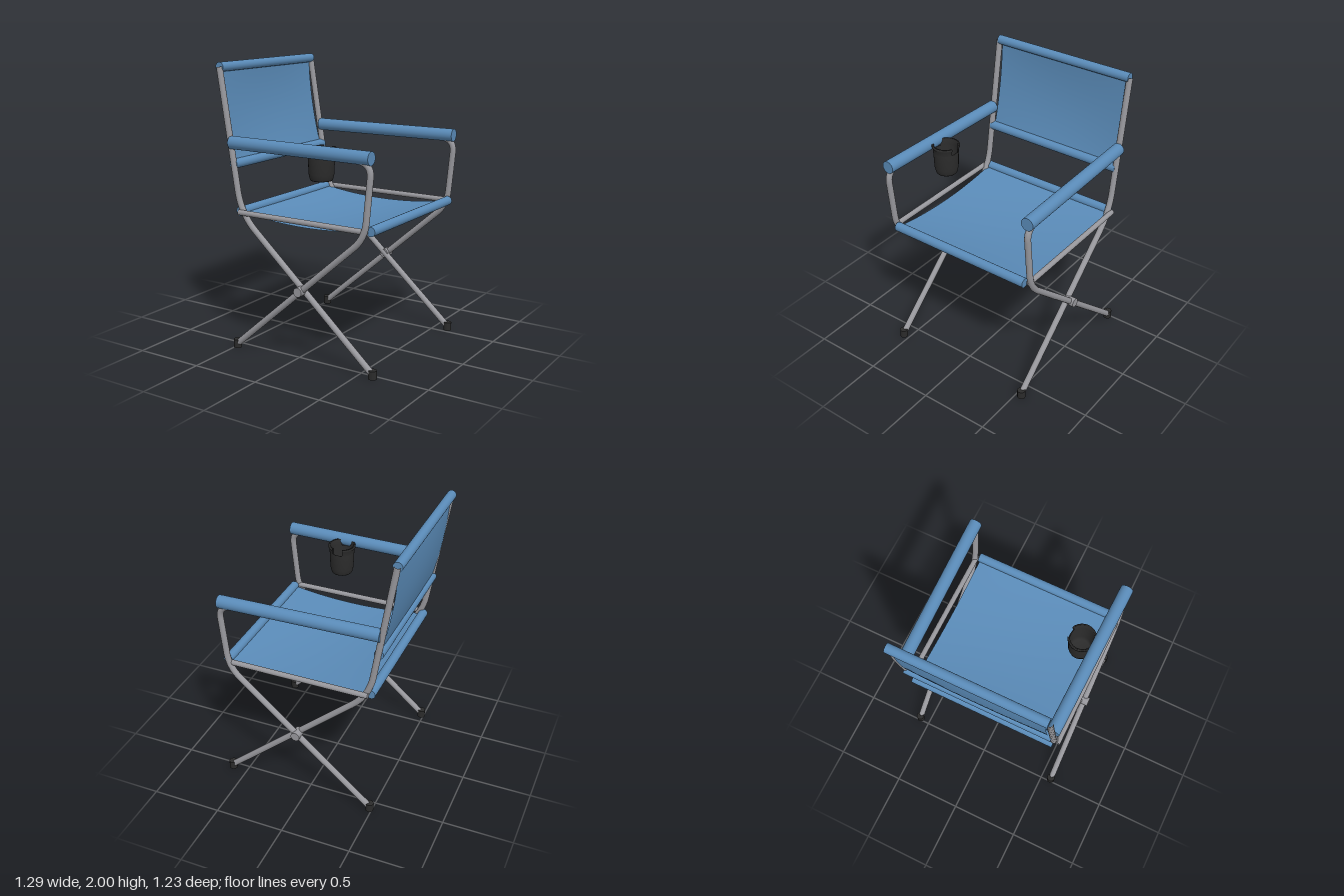
import * as THREE from 'three';

const BLUE = new THREE.MeshStandardMaterial({ color: 0x5a8bb8, side: THREE.DoubleSide });
const METAL = new THREE.MeshStandardMaterial({ color: 0x97979c });
const BLACK = new THREE.MeshStandardMaterial({ color: 0x2b2b2b, side: THREE.DoubleSide });
const V = (x, y, z) => new THREE.Vector3(x, y, z);

function add(parent, name, geometry, material) {
  const mesh = new THREE.Mesh(geometry, material);
  mesh.name = name;
  parent.add(mesh);
  return mesh;
}

// Capped straight rod between two points
function rod(parent, name, a, b, radius, material, sides = 24) {
  const mesh = add(parent, name, new THREE.CylinderGeometry(radius, radius, a.distanceTo(b), sides), material);
  mesh.position.copy(a).add(b).multiplyScalar(0.5);
  mesh.quaternion.setFromUnitVectors(V(0, 1, 0), b.clone().sub(a).normalize());
  return mesh;
}

// Tube along a polyline whose corners are rounded by the given fillet lengths
function bentTube(parent, name, points, fillets, radius) {
  const path = new THREE.CurvePath();
  let start = points[0];
  for (let i = 1; i < points.length - 1; i++) {
    const p = points[i], f = fillets[i - 1];
    const before = p.clone().add(points[i - 1].clone().sub(p).setLength(f));
    const after = p.clone().add(points[i + 1].clone().sub(p).setLength(f));
    path.add(new THREE.LineCurve3(start, before));
    path.add(new THREE.QuadraticBezierCurve3(before, p, after));
    start = after;
  }
  path.add(new THREE.LineCurve3(start, points[points.length - 1]));
  return add(parent, name, new THREE.TubeGeometry(path, 120, radius, 14), METAL);
}

// Cloth stretched between two rods (in x, y), sagging along a direction, deepest in the middle
function cloth(parent, name, a, b, sagDir, edgeSag, midSag, halfWidth) {
  const geo = new THREE.PlaneGeometry(1, 1, 24, 24);
  const pos = geo.attributes.position;
  for (let i = 0; i < pos.count; i++) {
    const t = pos.getX(i) + 0.5, w = pos.getY(i) * 2;
    const sag = 4 * t * (1 - t) * (edgeSag + (midSag - edgeSag) * (1 - w * w));
    pos.setXYZ(i,
      a.x + (b.x - a.x) * t + sagDir.x * sag,
      a.y + (b.y - a.y) * t + sagDir.y * sag,
      -w * halfWidth);
  }
  geo.computeVertexNormals();
  return add(parent, name, geo, BLUE);
}

function sideFrame(s) {
  const side = new THREE.Group();
  side.name = s > 0 ? 'nearSideFrame' : 'farSideFrame';
  const outer = 0.575 * s, inner = 0.543 * s;

  // Crossing tubes: one rises into the arm, the other into the back post
  bentTube(side, 'armTube',
    [V(-0.48, 0.03, outer), V(0.565, 0.945, outer), V(0.612, 1.425, outer), V(0.42, 1.45, outer)],
    [0.11, 0.09], 0.022);
  bentTube(side, 'backPostTube',
    [V(0.61, 0.03, inner), V(-0.45, 0.97, inner), V(-0.61, 1.968, inner)],
    [0.16], 0.022);

  // Seat rail and pivot
  rod(side, 'seatRail', V(-0.45, 0.985, 0.568 * s), V(0.575, 0.985, 0.568 * s), 0.019, METAL);
  rod(side, 'pivot', V(0.065, 0.51, 0.53 * s), V(0.065, 0.51, 0.612 * s), 0.033, METAL, 16);

  // Rubber feet
  rod(side, 'foot', V(-0.483, 0, outer), V(-0.483, 0.06, outer), 0.029, BLACK, 12);
  rod(side, 'foot', V(0.612, 0, inner), V(0.612, 0.06, inner), 0.029, BLACK, 12);

  // Padded armrest, splayed slightly toward the front
  rod(side, 'armrest', V(-0.52, 1.461, 0.545 * s), V(0.609, 1.461, 0.572 * s), 0.045, BLUE, 28);
  return side;
}

function cupHolder() {
  const cup = new THREE.Group();
  cup.name = 'cupHolder';
  const lathe = (pts, start, length) =>
    new THREE.LatheGeometry(pts.map(p => new THREE.Vector2(...p)), 28, start, length);

  // Solid cup wall and floor
  add(cup, 'cupBody', lathe([[0, 0], [0.07, 0], [0.076, 0.006], [0.085, 0.045], [0.09, 0.17],
    [0.081, 0.17], [0.076, 0.045], [0.066, 0.012], [0, 0.012]], 0, Math.PI * 2), BLACK);

  // Rim in two halves, leaving a slot on each side
  const gap = 0.4;
  for (const start of [gap, Math.PI + gap]) {
    add(cup, 'cupRim', lathe([[0.09, 0.17], [0.092, 0.2], [0.098, 0.205], [0.098, 0.22], [0.083, 0.22], [0.081, 0.17]],
      start, Math.PI - 2 * gap), BLACK);
  }
  cup.position.set(0.152, 1.255, 0.446);
  return cup;
}

export function createModel() {
  const chair = new THREE.Group();
  chair.name = 'foldingChair';
  chair.add(sideFrame(1), sideFrame(-1));

  // Cloth rolls around the cross rods
  const rolls = {
    seatFrontRoll: [0.587, 0.985], seatBackRoll: [-0.46, 0.985],
    backLowerRoll: [-0.51, 1.312], backTopRoll: [-0.612, 1.967],
  };
  for (const [name, [x, y]] of Object.entries(rolls)) {
    rod(chair, name, V(x, y, -0.545), V(x, y, 0.542), 0.033, BLUE, 24);
  }

  // Sagging seat and backrest cloth
  cloth(chair, 'seatCloth', V(-0.46, 0.985, 0), V(0.587, 0.985, 0), V(0, -1, 0), 0.045, 0.066, 0.535);
  cloth(chair, 'backCloth', V(-0.51, 1.312, 0), V(-0.612, 1.967, 0), V(-0.988, -0.154, 0), 0.02, 0.034, 0.52);

  chair.add(cupHolder());
  return chair;
}
